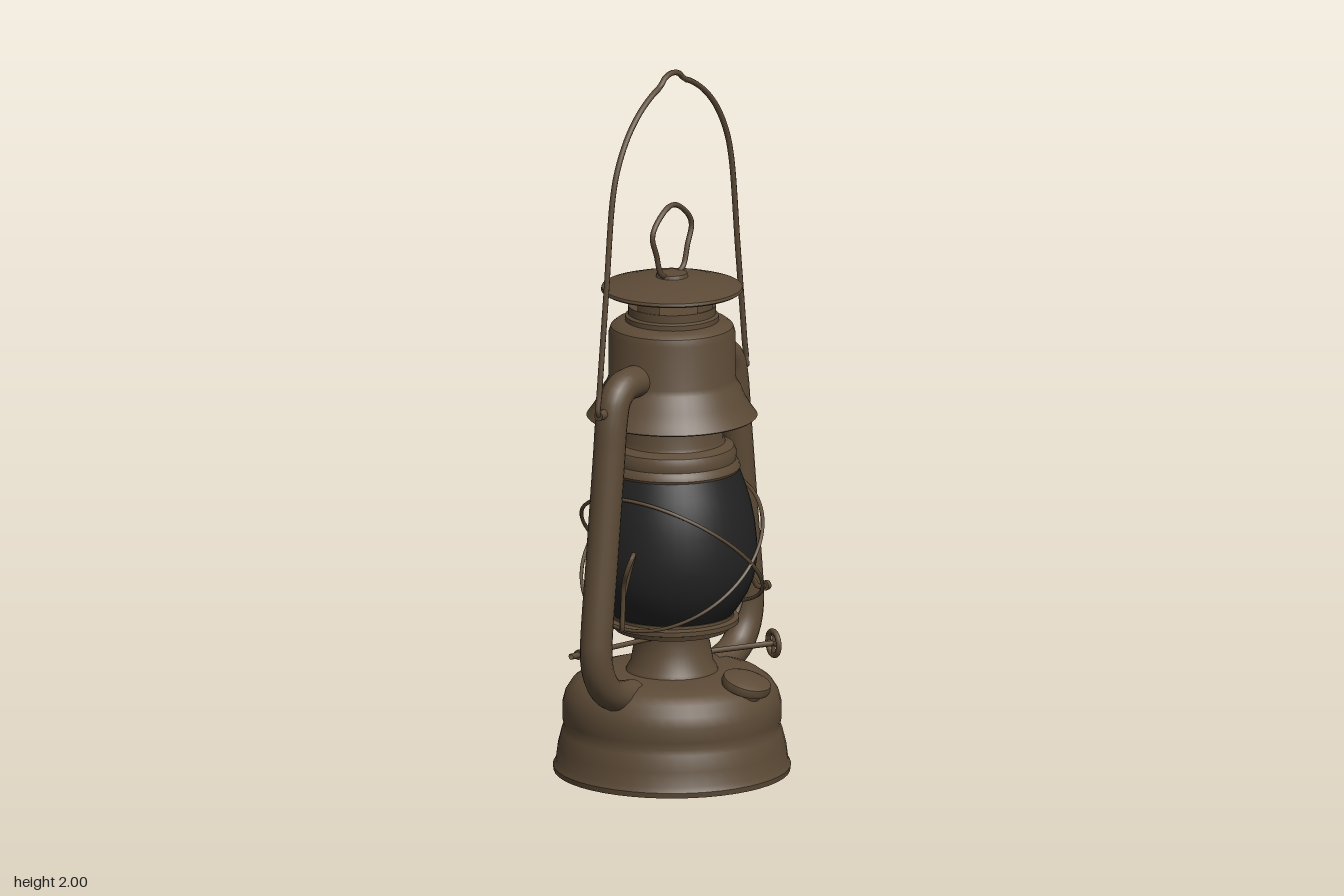
import * as THREE from 'three';
import { toCreasedNormals } from 'three/addons/utils/BufferGeometryUtils.js';

export function createModel() {
  const model = new THREE.Group();
  model.name = 'lantern';
  const brown = new THREE.MeshStandardMaterial({ color: 0x5c4a36, side: THREE.DoubleSide });
  brown.name = 'aged bronze metal';
  const dark = new THREE.MeshStandardMaterial({ color: 0x222222 });
  dark.name = 'smoked glass';

  const add = (name, geometry, material = brown, parent = model) => {
    const mesh = new THREE.Mesh(geometry, material);
    mesh.name = name;
    parent.add(mesh);
    return mesh;
  };
  // Turned part from [radius, y] pairs, bottom to top
  const turned = (name, profile, material = brown, parent = model) => {
    const points = profile.map(([r, y]) => new THREE.Vector2(r, y));
    return add(name, toCreasedNormals(new THREE.LatheGeometry(points, 48), 0.6), material, parent);
  };
  // Round wire or pipe through [x, y, z] points
  const wire = (name, pts, radius, closed = false, segs = 64, sides = 8, parent = model) => {
    const curve = new THREE.CatmullRomCurve3(pts.map(p => new THREE.Vector3(...p)), closed, 'centripetal');
    return add(name, new THREE.TubeGeometry(curve, segs, radius, sides, closed), brown, parent);
  };

  // Fuel tank and burner
  turned('fuelTank', [[0, 0], [0.328, 0], [0.33, 0.015], [0.322, 0.03], [0.317, 0.07], [0.306, 0.115],
    [0.3, 0.13], [0.304, 0.15], [0.304, 0.19], [0.296, 0.222], [0.278, 0.25], [0.25, 0.27],
    [0.215, 0.281], [0.13, 0.286], [0, 0.286]]);
  turned('burnerNeck', [[0.13, 0.28], [0.125, 0.295], [0.115, 0.31], [0.108, 0.35], [0.1, 0.39], [0.105, 0.41]]);
  turned('globePlate', [[0.08, 0.405], [0.16, 0.405], [0.165, 0.418], [0.186, 0.424], [0.186, 0.437],
    [0.172, 0.442], [0.172, 0.45], [0, 0.45]]);

  // Glass globe
  turned('globe', [[0.165, 0.445], [0.188, 0.475], [0.21, 0.51], [0.228, 0.555], [0.236, 0.605], [0.236, 0.65],
    [0.23, 0.71], [0.219, 0.765], [0.204, 0.815], [0.186, 0.865]], dark);

  // Collar above the globe, hood and chimney
  turned('globeCollar', [[0, 0.858], [0.186, 0.858], [0.19, 0.868], [0.186, 0.88], [0.178, 0.89], [0.18, 0.91],
    [0.172, 0.928], [0.148, 0.94], [0.144, 0.95], [0.144, 1.03]]);
  turned('hood', [[0.144, 1.02], [0.232, 1.01], [0.237, 1.014], [0.222, 1.035], [0.204, 1.065], [0.192, 1.095],
    [0.182, 1.11], [0.176, 1.125], [0.176, 1.25], [0.17, 1.27], [0.155, 1.282], [0.13, 1.286], [0, 1.286]]);
  turned('chimney', [[0.13, 1.284], [0.13, 1.3], [0.122, 1.305], [0.122, 1.328], [0.1, 1.328], [0, 1.326]]);

  // Four vent posts, leaving open gaps between them
  for (let i = 0; i < 4; i++) {
    const post = add('ventPost', new THREE.CylinderGeometry(0.119, 0.119, 0.05, 8, 1, true, -0.32, 0.64));
    post.position.y = 1.35;
    post.rotation.y = i * Math.PI / 2;
  }
  turned('cap', [[0, 1.368], [0.19, 1.368], [0.197, 1.373], [0.195, 1.381], [0.165, 1.39], [0.12, 1.402],
    [0.06, 1.408], [0.045, 1.41], [0.042, 1.42], [0, 1.424]]);

  // Wire loops: cap ring and carrying handle
  wire('capRing', [[-0.035, 1.415, 0], [-0.056, 1.43, 0], [-0.075, 1.485, 0], [-0.094, 1.535, 0], [-0.085, 1.562, 0],
    [-0.035, 1.603, 0], [0, 1.613, 0], [0.035, 1.603, 0], [0.085, 1.562, 0], [0.094, 1.535, 0],
    [0.075, 1.485, 0], [0.056, 1.43, 0], [0.035, 1.415, 0]], 0.0075);
  const bailHalf = [[0.335, 1.083], [0.356, 1.09], [0.35, 1.15], [0.318, 1.42], [0.286, 1.69], [0.262, 1.77],
    [0.215, 1.85], [0.155, 1.91], [0.09, 1.95], [0.058, 1.963], [0.035, 1.983]];
  wire('carryingHandle', [...bailHalf.map(([x, y]) => [-x, y, 0]), [0, 1.992, 0],
    ...bailHalf.map(([x, y]) => [x, y, 0]).reverse()], 0.008, false, 110);

  // Side air pipes with handle pivots
  for (const s of [-1, 1]) {
    wire('sidePipe', [[0.15, 1.145], [0.2, 1.147], [0.24, 1.142], [0.274, 1.115], [0.291, 1.06], [0.303, 0.96],
      [0.335, 0.69], [0.363, 0.46], [0.366, 0.4], [0.352, 0.34], [0.315, 0.29], [0.26, 0.263], [0.19, 0.25]]
      .map(([x, y]) => [s * x, y, 0]), 0.045, false, 72, 20);
    const pivot = add('handlePivot', new THREE.CylinderGeometry(0.014, 0.014, 0.05, 12));
    pivot.position.set(s * 0.33, 1.085, 0);
    pivot.rotation.z = Math.PI / 2;
  }

  // Crossed guard wires around the globe
  for (const s of [-1, 1]) {
    const loop = [];
    for (let i = 0; i < 24; i++) {
      const a = i / 24 * Math.PI * 2;
      loop.push([s * 0.212 * Math.cos(a), 0.627 + 0.185 * Math.cos(a), 0.268 * Math.sin(a)]);
    }
    wire('globeGuard', loop, 0.0055, true, 96, 6);
  }

  // Globe lift: cross rod, crank, end knobs and pull loop
  wire('liftRod', [[-0.34, 0.395, -0.055], [-0.2, 0.395, -0.02], [0, 0.395, 0.02], [0.2, 0.395, 0.045],
    [0.238, 0.398, 0.048], [0.256, 0.425, 0.05], [0.272, 0.475, 0.05], [0.295, 0.492, 0.05],
    [0.318, 0.48, 0.052], [0.335, 0.458, 0.055], [0.365, 0.455, 0.062]], 0.0075, false, 90);
  wire('liftRodTip', [[-0.395, 0.395, -0.065], [-0.34, 0.395, -0.055]], 0.009, false, 4);
  for (const [x, y, z] of [[0.365, 0.455, 0.062], [-0.362, 0.395, -0.06]]) {
    const knob = add('liftKnob', new THREE.CylinderGeometry(0.014, 0.014, 0.014, 12));
    knob.position.set(x, y, z);
    knob.rotation.z = Math.PI / 2;
  }
  wire('pullLoop', [[-0.292, 0.47, 0.035], [-0.29, 0.56, 0.04], [-0.288, 0.64, 0.06], [-0.305, 0.69, 0.085],
    [-0.33, 0.69, 0.098], [-0.338, 0.65, 0.085], [-0.318, 0.6, 0.06], [-0.308, 0.53, 0.05],
    [-0.305, 0.47, 0.045]], 0.007, true, 72);

  // Wick adjuster: stem and open wheel
  wire('wickStem', [[0.07, 0.325, 0.05], [0.27, 0.325, 0.16]], 0.008, false, 4);
  const wheel = new THREE.Group();
  wheel.name = 'wickWheel';
  add('wheelRim', new THREE.TorusGeometry(0.034, 0.008, 8, 24), brown, wheel);
  for (let i = 0; i < 2; i++) {
    const spoke = add('wheelSpoke', new THREE.CylinderGeometry(0.006, 0.006, 0.066, 8), brown, wheel);
    spoke.rotation.z = i * Math.PI / 2;
  }
  wheel.position.set(0.265, 0.325, 0.157);
  wheel.rotation.y = 1.07;
  model.add(wheel);

  // Filler cap, tilted forward on the tank shoulder
  const filler = turned('fillerCap', [[0, -0.035], [0.045, -0.035], [0.05, 0], [0.067, 0.002], [0.07, 0.012],
    [0.067, 0.026], [0.05, 0.033], [0, 0.036]]);
  filler.position.set(0, 0.267, 0.247);
  filler.rotation.x = 0.3;

  return model;
}
